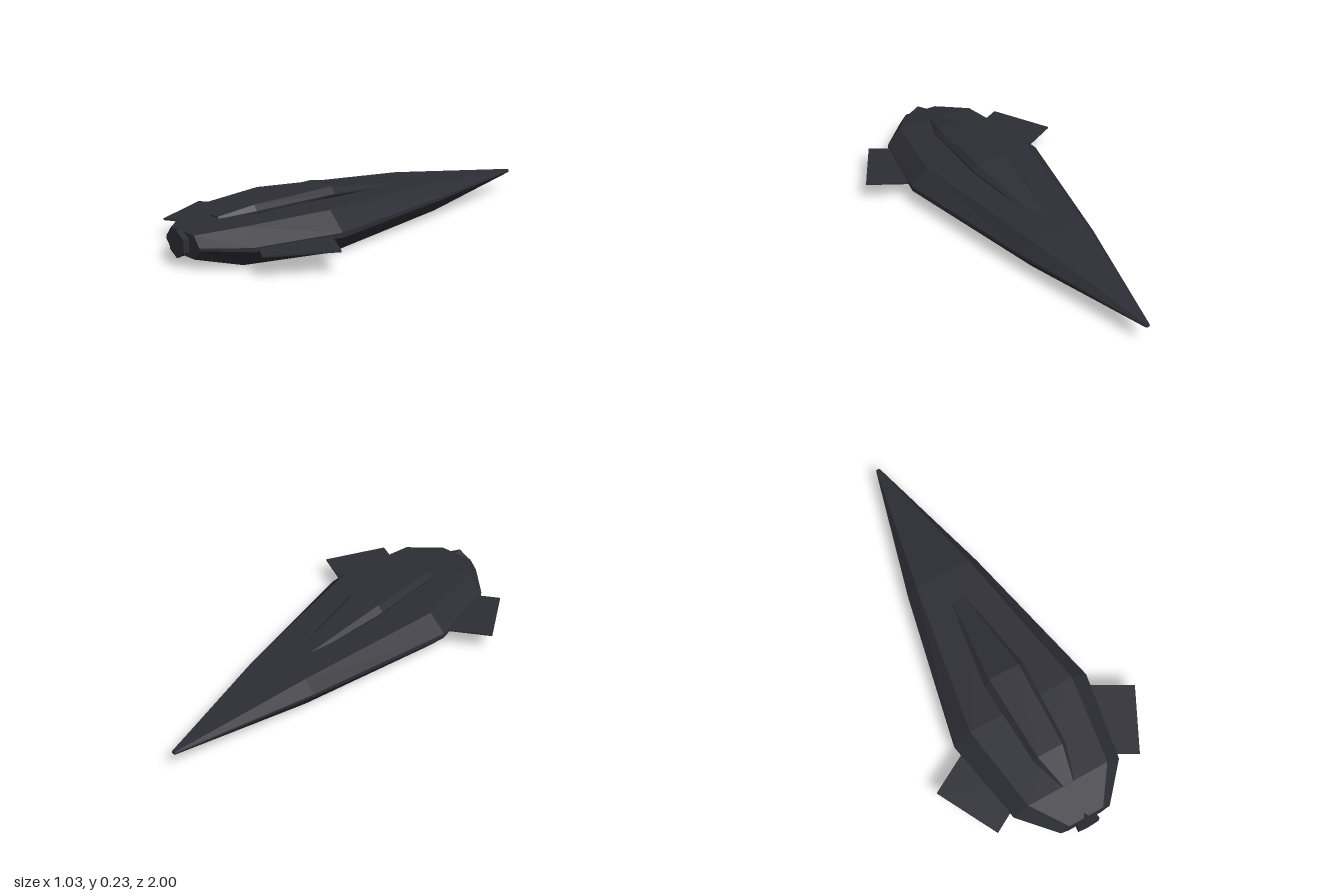
import * as THREE from 'three';

const hullMat = new THREE.MeshStandardMaterial({ color: 0x2d2d35, flatShading: true });
hullMat.name = 'dark hull';

// Lofts eight-sided sections along z.
// Section: [z, half width, half width of flat top, bottom y, lower side y, upper side y, top y]
function loft(name, sections) {
  const rings = sections.map(([z, w, t, y0, y1, y2, y3]) => [
    [w, y1, z], [w, y2, z], [t, y3, z], [-t, y3, z],
    [-w, y2, z], [-w, y1, z], [-t, y0, z], [t, y0, z],
  ]);
  const pos = [];
  const tri = (a, b, c) => pos.push(...a, ...b, ...c);
  for (let i = 0; i < rings.length - 1; i++) {
    for (let j = 0; j < 8; j++) {
      const k = (j + 1) % 8;
      tri(rings[i][j], rings[i][k], rings[i + 1][k]);
      tri(rings[i][j], rings[i + 1][k], rings[i + 1][j]);
    }
  }
  // End caps
  const first = rings[0], last = rings[rings.length - 1];
  for (let j = 1; j < 7; j++) {
    tri(first[0], first[j + 1], first[j]);
    tri(last[0], last[j], last[j + 1]);
  }
  const geo = new THREE.BufferGeometry();
  geo.setAttribute('position', new THREE.Float32BufferAttribute(pos, 3));
  geo.computeVertexNormals();
  const mesh = new THREE.Mesh(geo, hullMat);
  mesh.name = name;
  return mesh;
}

// Thin swept plate, tucked into the hull at its inner edge
function fin(side) {
  const pts = [[0.515, 0.55], [0.365, 0.835], [0.095, 0.685], [0.245, 0.4]];
  const shape = new THREE.Shape(pts.map(([x, z]) => new THREE.Vector2(side * x, -z)));
  const geo = new THREE.ExtrudeGeometry(shape, { depth: 0.008, bevelEnabled: false });
  geo.rotateX(-Math.PI / 2).translate(0, 0.092, 0);
  const mesh = new THREE.Mesh(geo, hullMat);
  mesh.name = side > 0 ? 'leftFin' : 'rightFin';
  return mesh;
}

export function createModel() {
  const model = new THREE.Group();
  model.name = 'spaceship';

  // Long needle-nosed body
  model.add(loft('hull', [
    [-1.0, 0.01, 0.007, 0.09, 0.095, 0.099, 0.104],
    [-0.34, 0.185, 0.138, 0.03, 0.09, 0.104, 0.166],
    [0.4, 0.345, 0.262, 0.0, 0.085, 0.108, 0.19],
    [0.81, 0.27, 0.2, 0.016, 0.087, 0.105, 0.178],
    [0.97, 0.125, 0.085, 0.045, 0.09, 0.101, 0.147],
  ]));

  // Raised spine along the top
  model.add(loft('dorsalSpine', [
    [-0.18, 0.038, 0.03, 0.15, 0.16, 0.165, 0.172],
    [0.24, 0.102, 0.075, 0.165, 0.195, 0.203, 0.231],
    [0.65, 0.082, 0.062, 0.155, 0.185, 0.192, 0.216],
    [0.81, 0.032, 0.025, 0.15, 0.17, 0.176, 0.184],
  ]));

  // Six-sided engine nozzle
  const nozzleGeo = new THREE.CylinderGeometry(0.06, 0.054, 0.05, 6);
  nozzleGeo.rotateX(Math.PI / 2).translate(0, 0.097, 0.975);
  const nozzle = new THREE.Mesh(nozzleGeo, hullMat);
  nozzle.name = 'engineNozzle';
  model.add(nozzle);

  for (const side of [1, -1]) model.add(fin(side));
  return model;
}
